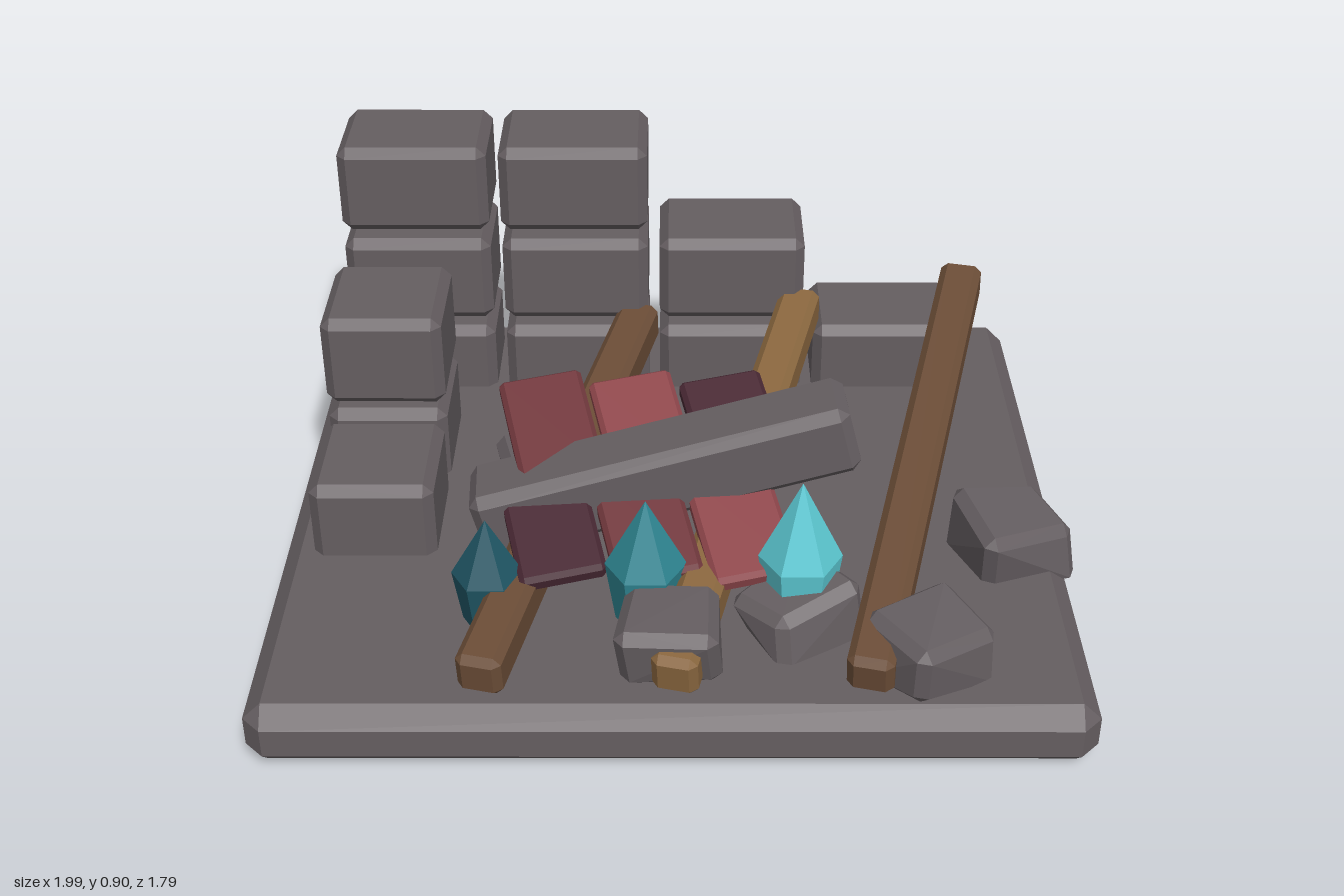
import * as THREE from 'three';
import { ConvexGeometry } from 'three/addons/geometries/ConvexGeometry.js';

const mat = (name, color) => {
  const m = new THREE.MeshStandardMaterial({ color, flatShading: true });
  m.name = name;
  return m;
};

// Small seeded generator for the irregular rubble
let seed = 7;
const rand = () => {
  seed = (seed * 16807) % 2147483647;
  return seed / 2147483647 - 0.5;
};

// Box with flat chamfers; jitter pushes its corners about
function chamferBox(w, h, d, c, jitter = 0) {
  const points = [];
  for (const sx of [-1, 1]) for (const sy of [-1, 1]) for (const sz of [-1, 1]) {
    const x = sx * (w / 2 + rand() * jitter);
    const y = sy * (h / 2 + rand() * jitter);
    const z = sz * (d / 2 + rand() * jitter);
    points.push(
      new THREE.Vector3(x, y - sy * c, z - sz * c),
      new THREE.Vector3(x - sx * c, y, z - sz * c),
      new THREE.Vector3(x - sx * c, y - sy * c, z));
  }
  return new ConvexGeometry(points);
}

export function createModel() {
  seed = 7;
  const model = new THREE.Group();
  model.name = 'ruinedHouse';

  const stone = mat('stoneGrey', 0x655e61);
  const wood = mat('brownWood', 0x6b4d37);
  const paleWood = mat('paleWood', 0x8a673f);
  const reds = {
    light: mat('lightRed', 0x8e464b),
    mid: mat('midRed', 0x71383d),
    dark: mat('darkRed', 0x482833),
  };
  const teals = [mat('darkTeal', 0x1f5563), mat('midTeal', 0x2f8591), mat('lightCyan', 0x5cc8d2)];

  const add = (name, geometry, material, pos, rot = [0, 0, 0]) => {
    const mesh = new THREE.Mesh(geometry, material);
    mesh.name = name;
    mesh.position.set(...pos);
    mesh.rotation.set(...rot);
    model.add(mesh);
    return mesh;
  };

  // Ground slab
  add('groundSlab', chamferBox(1.965, 0.165, 1.79, 0.045), stone, [-0.0175, 0.0825, 0]);

  // Stepped back wall: four, three and two blocks
  const wallBlock = chamferBox(0.4, 0.245, 0.295, 0.025);
  [4, 3, 2].forEach((count, row) => {
    for (let i = 0; i < count; i++) {
      add('backWallBlock', wallBlock, stone, [-0.72 + i * 0.432, 0.233 + row * 0.273, -0.662]);
    }
  });

  // Side wall stump
  const sideBlock = chamferBox(0.31, 0.25, 0.325, 0.025);
  for (const [y, z] of [[0.24, -0.225], [0.24, 0.128], [0.51, -0.225]]) {
    add('sideWallBlock', sideBlock, stone, [-0.765, y, z]);
  }

  // Fallen roof beams, from low front end to raised back end
  const beams = [
    [[-0.46, 0.22, 0.83], [-0.11, 0.37, -0.56], wood],
    [[-0.015, 0.22, 0.83], [0.34, 0.42, -0.56], paleWood],
    [[0.43, 0.22, 0.83], [0.785, 0.5, -0.56], wood],
  ];
  for (const [front, back, material] of beams) {
    const a = new THREE.Vector3(...front), b = new THREE.Vector3(...back);
    const mid = a.clone().lerp(b, 0.5);
    const beam = add('roofBeam', chamferBox(0.11, 0.11, a.distanceTo(b), 0.018), material, mid.toArray());
    beam.lookAt(b);
  }

  // Two sloping rows of roof tiles
  const tile = chamferBox(0.21, 0.05, 0.33, 0.012);
  const tileRows = [
    { x: -0.32, y: 0.45, z: 0.145, colors: ['mid', 'light', 'dark'] },
    { x: -0.31, y: 0.345, z: 0.41, colors: ['dark', 'mid', 'light'] },
  ];
  for (const { x, y, z, colors } of tileRows) {
    colors.forEach((c, i) => add('roofTile', tile, reds[c], [x + i * 0.228, y, z], [0.32, 0.23, 0]));
  }

  // Toppled stone lintel
  add('fallenLintel', chamferBox(0.95, 0.185, 0.19, 0.025), stone, [-0.04, 0.415, 0.265], [0, 0.06, 0.25]);

  // Rubble: position, size, rotation
  const rubble = [
    [[0.83, 0.21, 0.26], [0.27, 0.17, 0.23], [0.12, 0.42, -0.1]],
    [[0.58, 0.23, 0.72], [0.26, 0.16, 0.2], [0.05, 0.62, -0.08]],
    [[0.28, 0.22, 0.58], [0.23, 0.16, 0.2], [-0.05, 0.6, 0.1]],
    [[-0.02, 0.23, 0.69], [0.22, 0.15, 0.2], [0.05, -0.1, 0]],
    [[-0.34, 0.22, 0.0], [0.24, 0.15, 0.22], [0, 0.2, 0.08]],
    [[-0.04, 0.225, -0.02], [0.24, 0.15, 0.22], [0.05, -0.15, 0]],
  ];
  for (const [pos, size, rot] of rubble) {
    add('rubbleStone', chamferBox(...size, 0.025, 0.035), stone, pos, rot);
  }

  // Six-sided crystals: narrow foot, wide shoulder, sharp tip
  const crystals = [[-0.455, 0.45, 0.087], [-0.08, 0.505, 0.098], [0.285, 0.555, 0.1]];
  crystals.forEach(([x, top, r], i) => {
    const foot = 0.16, shoulder = foot + (top - foot) * 0.48;
    const profile = [[0, foot], [r * 0.75, foot], [r, shoulder], [0, top]].map(p => new THREE.Vector2(...p));
    add('crystal', new THREE.LatheGeometry(profile, 6, Math.PI / 2), teals[i], [x, 0, 0.535]);
  });

  return model;
}
